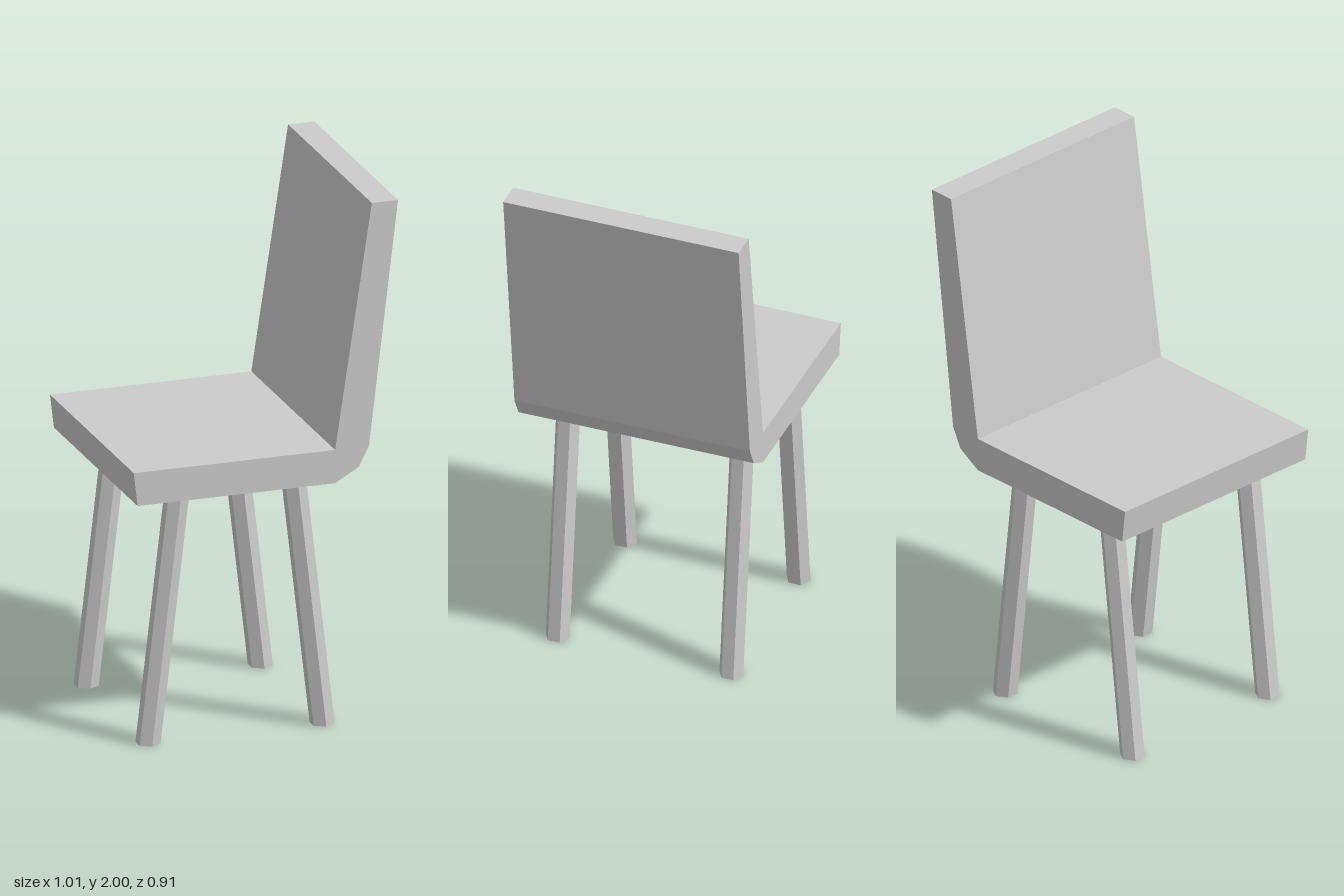
import * as THREE from 'three';

const SEAT_BOTTOM = 0.948;
const SEAT_DEPTH = 0.91;

export function createModel() {
  const chair = new THREE.Group();
  chair.name = 'chair';
  const material = new THREE.MeshStandardMaterial({ color: 0xcccccc, flatShading: true });

  // Seat and backrest: one bent side profile extruded across z
  const profile = new THREE.Shape([
    [-0.49, SEAT_BOTTOM], [0.263, SEAT_BOTTOM], [0.353, 1.0], [0.392, 1.075],
    [0.503, 2], [0.403, 2], [0.263, 1.075], [-0.505, 1.075],
  ].map(([x, y]) => new THREE.Vector2(x, y)));
  const shellGeometry = new THREE.ExtrudeGeometry(profile, { depth: SEAT_DEPTH, bevelEnabled: false });
  shellGeometry.translate(0, 0, -SEAT_DEPTH / 2);
  const shell = new THREE.Mesh(shellGeometry, material);
  shell.name = 'seatAndBackrest';
  chair.add(shell);

  // Hexagonal legs, sheared so both ends stay level
  function addLeg(name, footX, topX, z) {
    const geometry = new THREE.CylinderGeometry(0.046, 0.046, SEAT_BOTTOM, 6);
    geometry.translate(0, SEAT_BOTTOM / 2, 0);
    const shear = new THREE.Matrix4().makeShear(0, 0, (topX - footX) / SEAT_BOTTOM, 0, 0, 0);
    // Shear x by y
    shear.identity();
    shear.elements[4] = (topX - footX) / SEAT_BOTTOM;
    geometry.applyMatrix4(shear);
    const leg = new THREE.Mesh(geometry, material);
    leg.name = name;
    leg.position.set(footX, 0, z);
    chair.add(leg);
  }
  for (const [side, z] of [['Left', 0.342], ['Right', -0.329]]) {
    addLeg('frontLeg' + side, -0.411, -0.3, z);
    addLeg('backLeg' + side, 0.253, 0.144, z);
  }

  return chair;
}
